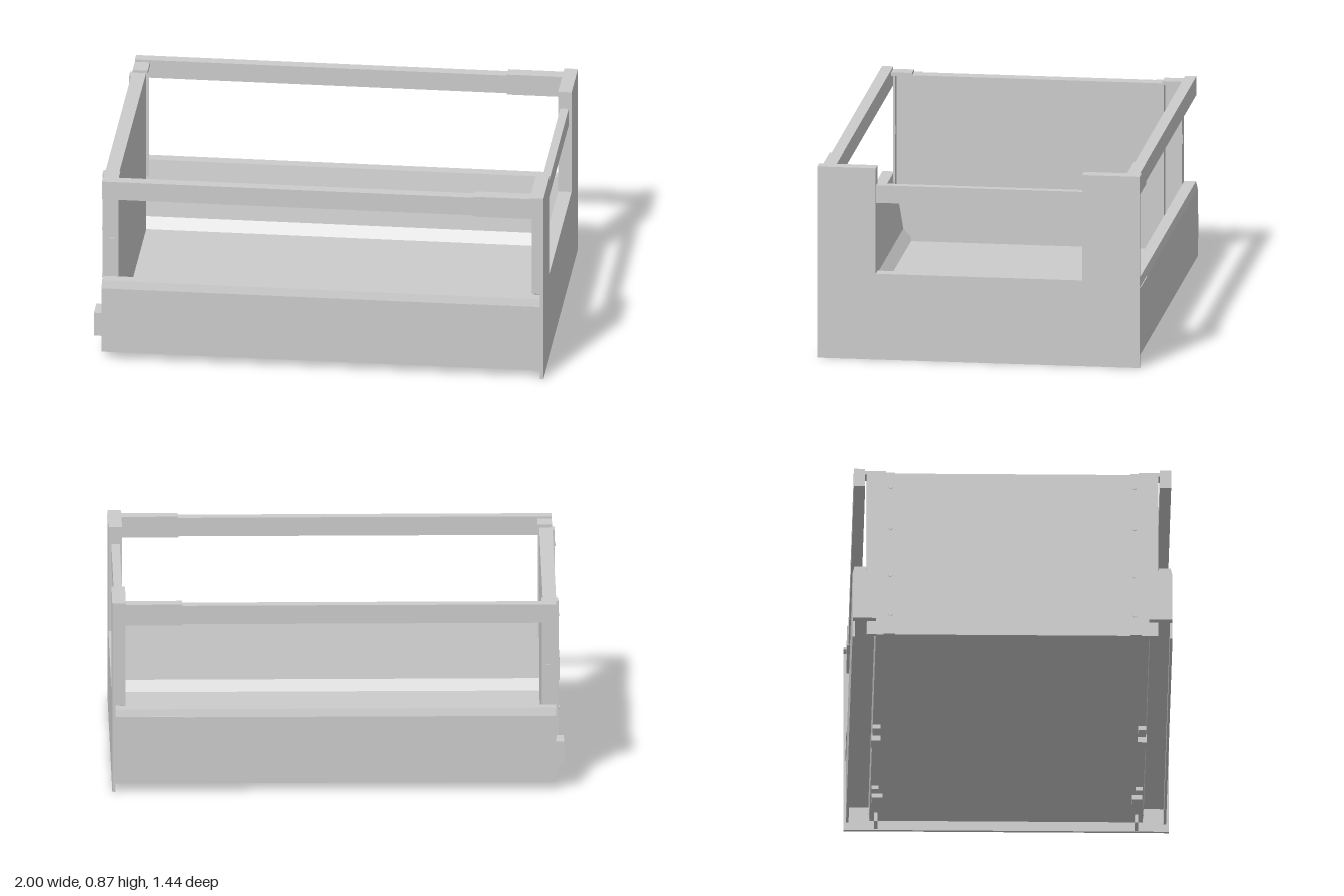
import * as THREE from 'three';

const grey = new THREE.MeshStandardMaterial({ color: 0xcccccc, side: THREE.DoubleSide, flatShading: true });

export function createModel() {
  const root = new THREE.Group();

  const add = (parent, name, geometry) => {
    const m = new THREE.Mesh(geometry, grey);
    m.name = name;
    parent.add(m);
    return m;
  };
  // Box given by its limits along each axis
  const box = (parent, name, x0, x1, y0, y1, z0, z1) =>
    add(parent, name, new THREE.BoxGeometry(x1 - x0, y1 - y0, z1 - z0)
      .translate((x0 + x1) / 2, (y0 + y1) / 2, (z0 + z1) / 2));
  const shapeOf = pts => new THREE.Shape(pts.map(p => new THREE.Vector2(...p)));
  // Profile of (z, y) points extruded along x
  const alongX = (parent, name, pts, x0, x1) => {
    const g = new THREE.ExtrudeGeometry(shapeOf(pts.map(([z, y]) => [-z, y])),
      { depth: x1 - x0, bevelEnabled: false });
    return add(parent, name, g.rotateY(Math.PI / 2).translate(x0, 0, 0));
  };

  // Front panel: one plate with a wide notch at the top
  alongX(root, 'frontPanel', [
    [-0.72, 0], [0.72, 0], [0.72, 0.87], [0.46, 0.87],
    [0.46, 0.39], [-0.46, 0.39], [-0.46, 0.87], [-0.72, 0.87]], 0.985, 1);
  box(root, 'frontPanelLip', 0.94, 0.985, 0.375, 0.39, -0.64, 0.64);
  box(root, 'frontPanelInner', 0.94, 0.95, 0.06, 0.385, -0.61, 0.61);
  box(root, 'frontCrossBar', 0.95, 0.987, 0.71, 0.79, -0.465, 0.465);

  // Floor and back
  box(root, 'floor', -0.965, 0.985, 0.045, 0.075, -0.6, 0.6);
  box(root, 'backPanel', -0.967, -0.905, 0.045, 0.83, -0.565, 0.565);

  // Parts of one long side, built at +z and mirrored
  for (const s of [1, -1]) {
    const side = new THREE.Group();
    side.name = s > 0 ? 'rightSide' : 'leftSide';
    const zBox = (name, x0, x1, y0, y1, z0, z1) =>
      box(side, name, x0, x1, y0, y1, Math.min(s * z0, s * z1), Math.max(s * z0, s * z1));
    const zProfile = (name, pts, x0, x1) =>
      alongX(side, name, pts.map(([z, y]) => [s * z, y]), x0, x1);

    // Drawer wall with a sloping inner face and a runner channel below
    zProfile('sideWall', [
      [0.708, 0.035], [0.708, 0.34], [0.7, 0.375], [0.648, 0.375], [0.605, 0.12],
      [0.565, 0.075], [0.565, 0.045], [0.605, 0.045], [0.61, 0.11], [0.697, 0.11],
      [0.697, 0.035]], -0.965, 0.985);
    // Joint line of the front sleeve on the wall
    zBox('wallJoint', 0.685, 0.985, 0.337, 0.343, 0.7, 0.711);

    // Upper rail with a wider sleeve at the front
    zBox('upperRail', -0.965, 0.7, 0.768, 0.853, 0.652, 0.702);
    zBox('railSleeve', 0.69, 0.985, 0.764, 0.86, 0.647, 0.707);

    // Front post: channel open at the back
    zBox('postInnerWall', 0.94, 0.985, 0.39, 0.86, 0.46, 0.472);
    zBox('postOuterWall', 0.94, 0.985, 0.39, 0.86, 0.635, 0.647);
    zBox('postCap', 0.94, 0.987, 0.858, 0.87, 0.46, 0.72);
    zBox('postShelf', 0.945, 0.985, 0.705, 0.72, 0.47, 0.64);
    for (const y of [0.39, 0.74]) zBox('postBracket', 0.945, 0.985, y, y + 0.03, 0.6, 0.638);

    // Rear post: slotted plate with a back flange and cap
    const plate = shapeOf([[-0.952, 0.05], [-0.9, 0.05], [-0.9, 0.83], [-0.952, 0.83]]);
    plate.holes.push(new THREE.Path(
      [[-0.938, 0.555], [-0.938, 0.595], [-0.915, 0.595], [-0.915, 0.555]]
        .map(p => new THREE.Vector2(...p))));
    add(side, 'rearPostPlate', new THREE.ExtrudeGeometry(plate, { depth: 0.01, bevelEnabled: false })
      .translate(0, 0, s > 0 ? 0.635 : -0.645));
    zBox('rearPostFlange', -0.977, -0.967, 0.045, 0.83, 0.52, 0.572);
    zBox('rearPostBack', -0.967, -0.95, 0.045, 0.83, 0.56, 0.645);
    zBox('rearPostCap', -0.965, -0.898, 0.825, 0.842, 0.56, 0.655);
    for (const y of [0.14, 0.33, 0.56, 0.76]) {
      const screw = add(side, 'screw', new THREE.CylinderGeometry(0.009, 0.009, 0.006, 12));
      screw.rotation.z = Math.PI / 2;
      screw.position.set(-0.978, y, s * 0.54);
    }

    // Rear hook beside the wall
    zBox('rearHook', -1, -0.96, 0.11, 0.22, 0.605, 0.706);

    // Clips under the floor edge and the front bracket
    zBox('clip', -0.025, 0.05, 0.025, 0.05, 0.57, 0.605);
    zBox('clip', 0.075, 0.15, 0.012, 0.05, 0.57, 0.61);
    zBox('clip', 0.615, 0.635, 0.028, 0.05, 0.57, 0.6);
    zBox('clip', 0.7, 0.765, 0.025, 0.05, 0.55, 0.6);
    zBox('frontBracket', 0.9, 0.985, 0.004, 0.045, 0.57, 0.585);
    root.add(side);
  }
  return root;
}
